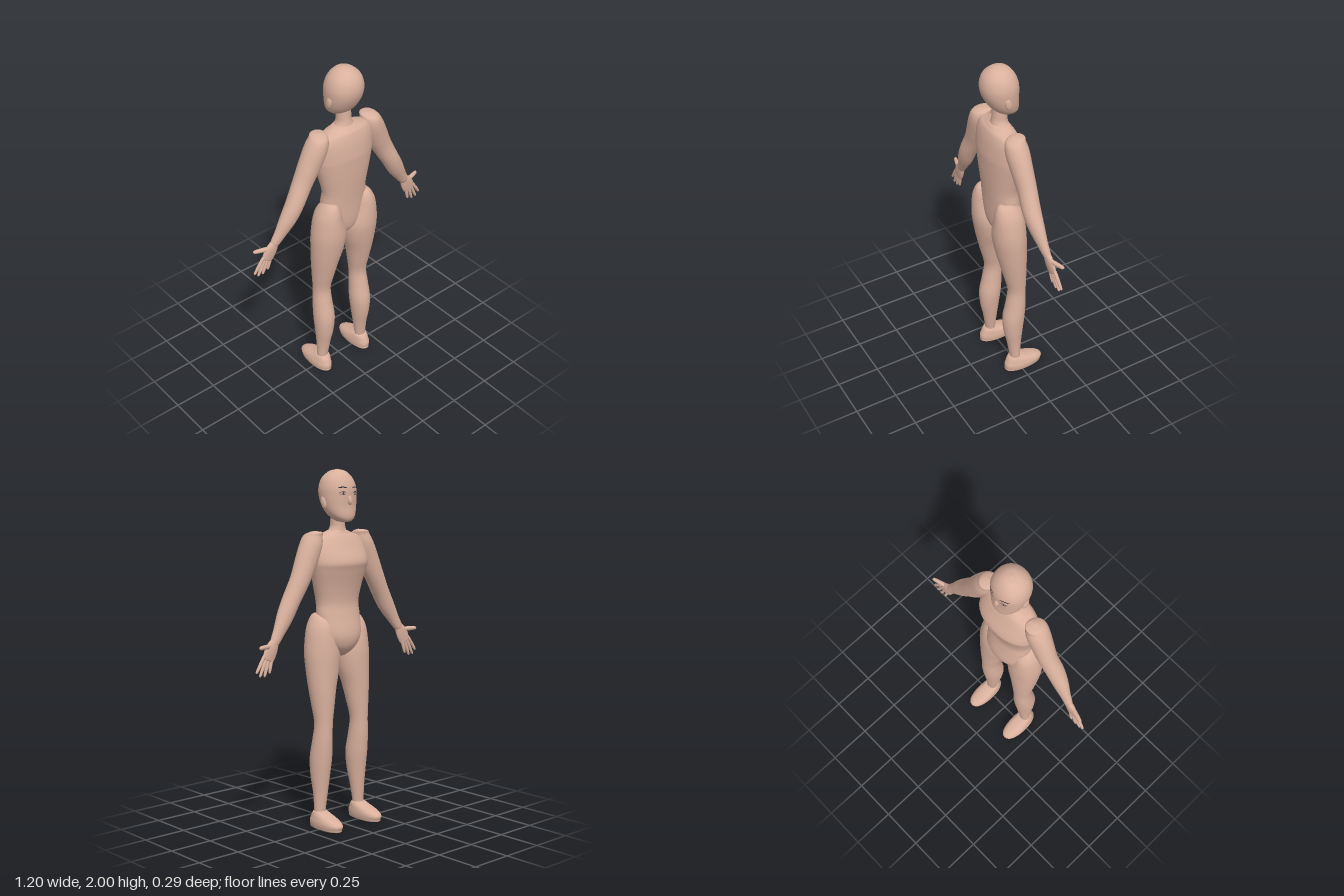
import * as THREE from 'three';

const skin = new THREE.MeshStandardMaterial({ color: 0xd9b09d });
skin.name = 'skin';
const dark = new THREE.MeshStandardMaterial({ color: 0x2c2c38, side: THREE.DoubleSide });
dark.name = 'lash dark';
const blue = new THREE.MeshStandardMaterial({ color: 0x4d5f80, side: THREE.DoubleSide });
blue.name = 'iris blue';

// Smooth body part from elliptical sections, listed top to bottom:
// [x, y, z, half width, half depth, tilt in degrees]
function loft(name, sections, { s = 1, sides = 32, steps = 5, power = 2 } = {}) {
  const curve = (pts) => new THREE.CatmullRomCurve3(pts, false, 'catmullrom', 0.5);
  const centers = curve(sections.map((c) => new THREE.Vector3(c[0] * s, c[1], c[2])));
  const sizes = curve(sections.map((c) => new THREE.Vector3(c[3], c[4], (c[5] || 0) * s)));
  const rows = (sections.length - 1) * steps;
  const pos = [], index = [];
  const bend = (v) => Math.sign(v) * Math.abs(v) ** (2 / power);
  for (let i = 0; i <= rows; i++) {
    const c = centers.getPoint(i / rows), r = sizes.getPoint(i / rows);
    const tilt = THREE.MathUtils.degToRad(r.z);
    const a = Math.max(r.x, 0.0002), b = Math.max(r.y, 0.0002);
    for (let j = 0; j < sides; j++) {
      const th = (j / sides) * Math.PI * 2;
      const u = a * bend(Math.cos(th));
      pos.push(c.x + u * Math.cos(tilt), c.y + u * Math.sin(tilt), c.z + b * bend(Math.sin(th)));
      if (i === rows) continue;
      const k = (j + 1) % sides, p = i * sides, q = p + sides;
      index.push(p + j, p + k, q + j, p + k, q + k, q + j);
    }
  }
  const g = new THREE.BufferGeometry();
  g.setAttribute('position', new THREE.Float32BufferAttribute(pos, 3));
  g.setIndex(index);
  g.computeVertexNormals();
  const mesh = new THREE.Mesh(g, skin);
  mesh.name = name;
  return mesh;
}

// Upright section from [height, centre x, half width, back z, front z]
const upright = ([y, x, w, back, front]) => [x, y, (back + front) / 2, w, (back - front) / 2];

// Tapered digit with a rounded tip
function digit(name, s, from, to, r) {
  const tilt = THREE.MathUtils.radToDeg(Math.atan2(to[0] - from[0], from[1] - to[1]));
  const at = (t, k) => [0, 1, 2].map((i) => from[i] + (to[i] - from[i]) * t).concat(r * k, r * k, tilt);
  return loft(name, [at(0, 0), at(0.06, 0.9), at(0.5, 1), at(0.88, 0.8), at(0.97, 0.5), at(1, 0)],
    { s, sides: 12, steps: 3 });
}

// Thin painted strip that follows the face; top and bottom are heights along t = 0..1
function facePatch(name, material, head, x0, x1, top, bottom, lift = 0.002) {
  const ray = new THREE.Raycaster();
  const pos = [], index = [], n = 12;
  for (let i = 0; i <= n; i++) {
    const t = i / n, x = x0 + (x1 - x0) * t;
    for (const y of [top(t), bottom(t)]) {
      ray.set(new THREE.Vector3(x, y, -1), new THREE.Vector3(0, 0, 1));
      const hit = ray.intersectObject(head)[0];
      pos.push(x, y, (hit ? hit.point.z : 0) - lift);
    }
    const k = i * 2;
    if (i < n) index.push(k, k + 2, k + 1, k + 1, k + 2, k + 3);
  }
  // keep the normals facing forward on both halves of the face
  if (x1 < x0) index.reverse();
  const g = new THREE.BufferGeometry();
  g.setAttribute('position', new THREE.Float32BufferAttribute(pos, 3));
  g.setIndex(index);
  g.computeVertexNormals();
  const mesh = new THREE.Mesh(g, material);
  mesh.name = name;
  return mesh;
}

function makeHead() {
  const group = new THREE.Group();
  group.name = 'head';
  const skull = loft('skull', [
    [2.0, 0, 0, 0.045, 0.045], [1.987, 0, 0.046, 0.092, -0.002], [1.95, 0, 0.086, 0.13, -0.036],
    [1.9, 0, 0.104, 0.145, -0.055], [1.85, 0, 0.105, 0.14, -0.057], [1.8, 0, 0.098, 0.118, -0.056],
    [1.76, 0, 0.083, 0.09, -0.059], [1.735, 0, 0.064, 0.06, -0.058], [1.717, 0, 0.037, 0.03, -0.047],
    [1.71, 0, 0, -0.012, -0.012],
  ].map(upright), { sides: 40, power: 2.1 });
  group.add(skull);

  const nose = new THREE.Mesh(new THREE.SphereGeometry(1, 16, 12), skin);
  nose.name = 'nose';
  nose.scale.set(0.014, 0.026, 0.014);
  nose.position.set(0, 1.832, -0.056);
  nose.rotation.x = 0.2;
  group.add(nose);

  const arc = (base, rise) => (t) => base + rise * Math.sin(t * Math.PI);
  for (const s of [1, -1]) {
    const ear = new THREE.Mesh(new THREE.SphereGeometry(1, 16, 12), skin);
    ear.name = 'ear';
    ear.scale.set(0.012, 0.036, 0.02);
    ear.position.set(s * 0.1, 1.82, 0.045);
    ear.rotation.x = 0.3;
    group.add(ear);
    group.add(
      facePatch('eyebrow', dark, skull, s * 0.02, s * 0.068, arc(1.9, 0.005), arc(1.896, 0.003)),
      facePatch('upperLash', dark, skull, s * 0.024, s * 0.064, arc(1.87, 0.01), arc(1.869, 0.007)),
      facePatch('lowerLash', dark, skull, s * 0.028, s * 0.06, arc(1.866, -0.004), arc(1.865, -0.006)),
      facePatch('iris', blue, skull, s * 0.037, s * 0.049, arc(1.87, 0.007), arc(1.87, -0.007)),
      facePatch('pupil', dark, skull, s * 0.04, s * 0.046, arc(1.87, 0.004), arc(1.87, -0.004), 0.003),
    );
  }
  return group;
}

function makeArm(s) {
  const group = new THREE.Group();
  group.name = s > 0 ? 'leftArm' : 'rightArm';
  group.add(loft('armLimb', [
    [0.165, 1.667, 0.05, 0, 0, 0], [0.168, 1.661, 0.034, 0.036, 0.036, 0],
    [0.175, 1.64, 0.049, 0.051, 0.055, 4], [0.192, 1.585, 0.048, 0.063, 0.064, 15],
    [0.235, 1.49, 0.044, 0.064, 0.058, 27], [0.28, 1.4, 0.041, 0.057, 0.052, 30],
    [0.335, 1.3, 0.046, 0.051, 0.05, 30], [0.38, 1.22, 0.043, 0.049, 0.042, 30],
    [0.43, 1.14, 0.035, 0.036, 0.028, 32], [0.47, 1.08, 0.028, 0.025, 0.018, 30],
    [0.475, 1.07, 0.028, 0, 0, 30],
  ], { s }));
  group.add(loft('palm', [
    [0.46, 1.1, 0.028, 0, 0, 30], [0.465, 1.092, 0.028, 0.025, 0.016, 30],
    [0.488, 1.055, 0.026, 0.04, 0.017, 28], [0.508, 1.015, 0.024, 0.04, 0.013, 25],
    [0.515, 0.997, 0.023, 0.03, 0.01, 25], [0.517, 0.992, 0.023, 0, 0, 25],
  ], { s, sides: 20 }));
  // fingers from the thumb side inward: base x, base y, tip x, tip y
  for (const [x0, y0, x1, y1] of [
    [0.535, 1.03, 0.6, 0.935], [0.522, 1.02, 0.577, 0.913],
    [0.507, 1.015, 0.546, 0.911], [0.488, 1.015, 0.512, 0.926],
  ]) group.add(digit('finger', s, [x0, y0, 0.024], [x1, y1, 0.018], 0.0095));
  group.add(digit('thumb', s, [0.49, 1.07, 0.03], [0.588, 1.071, 0.002], 0.013));
  return group;
}

function makeLeg(s) {
  const group = new THREE.Group();
  group.name = s > 0 ? 'leftLeg' : 'rightLeg';
  group.add(loft('legLimb', [
    [1.213, 0.115, 0, 0.07, 0.07], [1.208, 0.115, 0.03, 0.112, 0.028], [1.17, 0.117, 0.058, 0.132, -0.012],
    [1.11, 0.12, 0.078, 0.141, -0.032], [1.0, 0.112, 0.102, 0.145, -0.045], [0.9, 0.115, 0.097, 0.131, -0.046],
    [0.8, 0.125, 0.08, 0.11, -0.045], [0.7, 0.13, 0.065, 0.086, -0.043], [0.6, 0.134, 0.052, 0.065, -0.04],
    [0.5, 0.136, 0.056, 0.08, -0.039], [0.4, 0.136, 0.061, 0.099, -0.032], [0.3, 0.138, 0.054, 0.094, -0.02],
    [0.2, 0.141, 0.042, 0.074, -0.009], [0.1, 0.147, 0.034, 0.06, 0], [0.06, 0.148, 0.034, 0.06, 0],
  ].map(upright), { s }));
  group.add(loft('foot', [
    [0.104, 0.147, 0, 0.03, 0.03], [0.1, 0.147, 0.033, 0.063, -0.006], [0.085, 0.147, 0.044, 0.078, -0.05],
    [0.065, 0.148, 0.051, 0.088, -0.112], [0.043, 0.149, 0.055, 0.096, -0.146],
    [0.02, 0.149, 0.053, 0.094, -0.142], [0.005, 0.149, 0.044, 0.085, -0.128], [0.001, 0.149, 0, -0.02, -0.02],
  ].map(upright), { s, power: 2.2 }));
  return group;
}

export function createModel() {
  const model = new THREE.Group();
  model.name = 'figure';
  model.add(makeHead());
  model.add(loft('neck', [
    [1.8, 0, 0.042, 0.082, 0], [1.72, 0, 0.041, 0.083, 0], [1.68, 0, 0.046, 0.088, 0], [1.64, 0, 0.075, 0.1, -0.008],
  ].map(upright)));
  model.add(loft('torso', [
    [1.675, 0, 0, 0.045, 0.045], [1.668, 0, 0.05, 0.088, 0.003], [1.65, 0, 0.1, 0.108, -0.008],
    [1.63, 0, 0.15, 0.121, -0.021], [1.58, 0, 0.18, 0.134, -0.046], [1.5, 0, 0.188, 0.143, -0.082],
    [1.45, 0, 0.181, 0.142, -0.073], [1.36, 0, 0.158, 0.137, -0.05], [1.27, 0, 0.139, 0.13, -0.037],
    [1.2, 0, 0.142, 0.124, -0.046], [1.1, 0, 0.138, 0.119, -0.065], [1.04, 0, 0.112, 0.112, -0.058],
    [1.0, 0, 0.074, 0.098, -0.034], [0.972, 0, 0.033, 0.07, 0], [0.965, 0, 0, 0.035, 0.035],
  ].map(upright), { sides: 40, power: 2.1 }));
  for (const s of [1, -1]) model.add(makeArm(s), makeLeg(s));
  return model;
}
